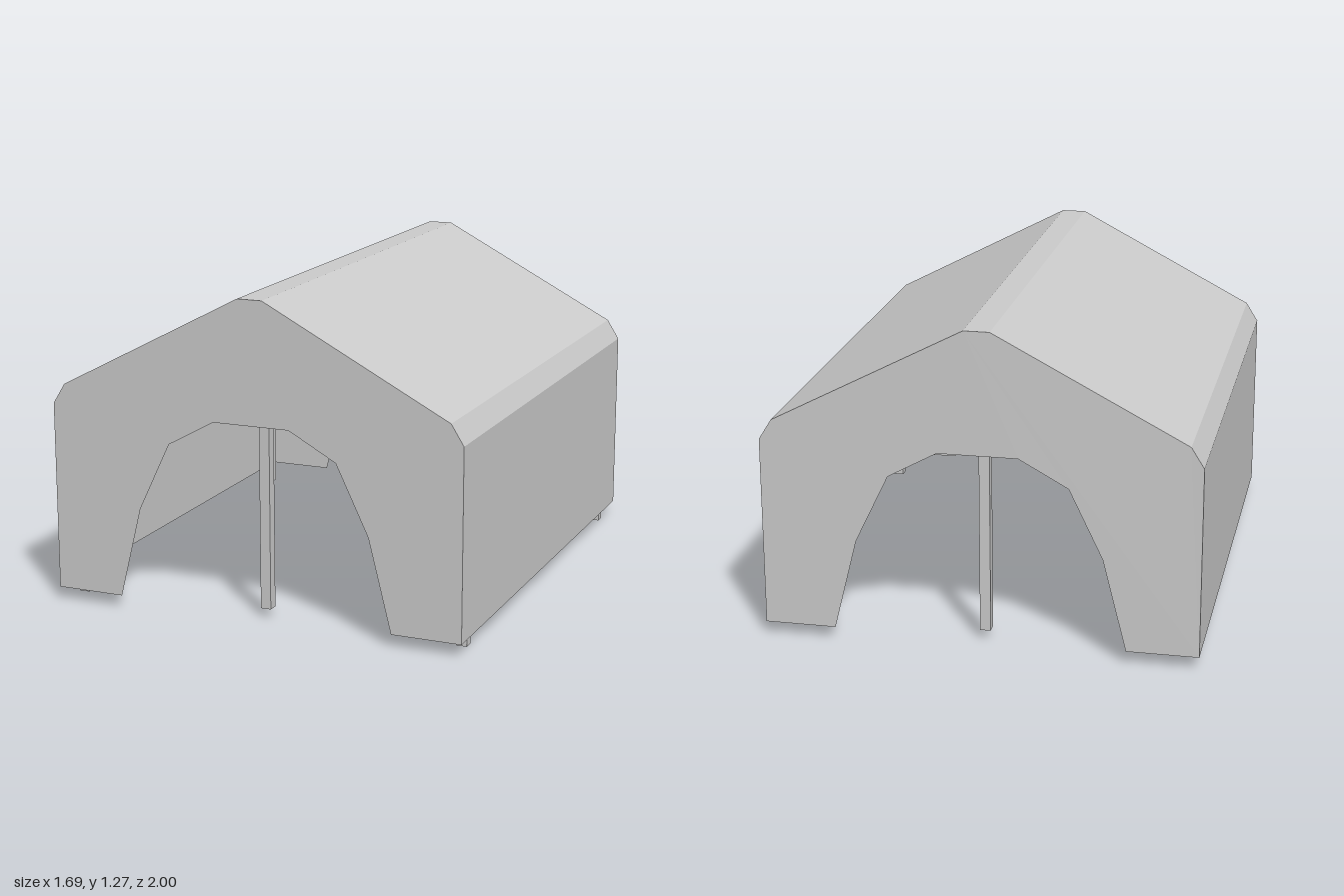
import * as THREE from 'three';

const material = new THREE.MeshStandardMaterial({ color: 0xcccccc, side: THREE.DoubleSide, flatShading: true });

// Right half of the tent outline, from the hem up to the ridge
const half = [[0.845, 0.05], [0.845, 0.8], [0.795, 0.88], [0.05, 1.27]];
// Right half of the doorway, from the top down to the hem
const doorHalf = [[0.155, 0.79], [0.345, 0.685], [0.475, 0.415], [0.567, 0.05]];

const mirrored = (pts) => pts.map(([x, y]) => [-x, y]).reverse();
const outline = [...half, ...mirrored(half)];
const doorway = [...mirrored(doorHalf), ...doorHalf];

function addMesh(parent, name, geometry, x = 0, y = 0, z = 0) {
  const mesh = new THREE.Mesh(geometry, material);
  mesh.name = name;
  mesh.position.set(x, y, z);
  parent.add(mesh);
  return mesh;
}

// Walls and roof: the outline swept along z as flat strips
function coverGeometry() {
  const positions = [];
  for (let i = 0; i < outline.length - 1; i++) {
    const [ax, ay] = outline[i];
    const [bx, by] = outline[i + 1];
    positions.push(ax, ay, 1, ax, ay, -1, bx, by, -1);
    positions.push(ax, ay, 1, bx, by, -1, bx, by, 1);
  }
  const geometry = new THREE.BufferGeometry();
  geometry.setAttribute('position', new THREE.Float32BufferAttribute(positions, 3));
  geometry.computeVertexNormals();
  return geometry;
}

// End panel with the doorway cut out of its lower edge
function gableGeometry() {
  const points = [...outline, ...doorway].map(([x, y]) => new THREE.Vector2(x, y));
  return new THREE.ShapeGeometry(new THREE.Shape(points));
}

function addPost(parent, name, x, z, bottom, top) {
  addMesh(parent, name, new THREE.BoxGeometry(0.042, top - bottom, 0.042), x, (top + bottom) / 2, z);
}

export function createModel() {
  const tent = new THREE.Group();
  tent.name = 'shelterTent';

  addMesh(tent, 'cover', coverGeometry());
  addMesh(tent, 'frontGable', gableGeometry(), 0, 0, 1);
  addMesh(tent, 'backGable', gableGeometry(), 0, 0, -1).rotation.y = Math.PI;

  // Posts at the corners and under the ridge
  for (const z of [0.863, -0.863]) {
    for (const x of [0.803, -0.803]) addPost(tent, 'cornerPost', x, z, 0, 0.79);
    addPost(tent, 'ridgePost', 0, z, 0.035, 1.2);
  }

  // Long beams: two tilted ones under the eaves, one under the ridge
  for (const side of [1, -1]) {
    const beam = addMesh(tent, 'eaveBeam', new THREE.BoxGeometry(0.07, 0.07, 1.96), side * 0.782, 0.79, 0);
    beam.rotation.z = side * Math.PI / 4;
  }
  addMesh(tent, 'ridgeBeam', new THREE.BoxGeometry(0.07, 0.07, 1.96), 0, 1.21, 0);

  return tent;
}
